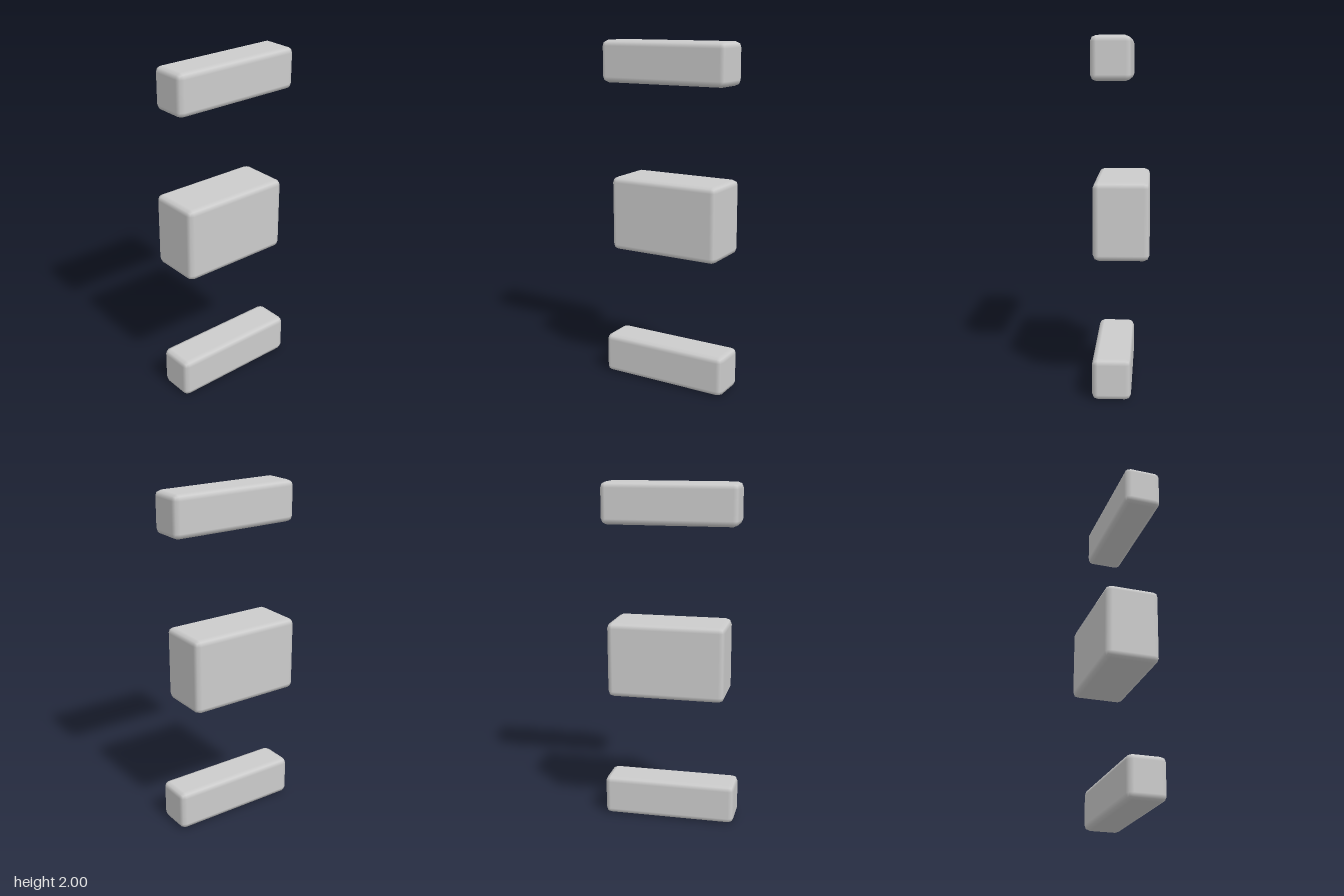
import * as THREE from 'three';
import { RoundedBoxGeometry } from 'three/addons/geometries/RoundedBoxGeometry.js';

export function createModel() {
  const model = new THREE.Group();
  model.name = 'stackedBlocks';

  const grey = new THREE.MeshStandardMaterial({ color: 0xcccccc });
  grey.name = 'light grey';

  const turn = THREE.MathUtils.degToRad(-14);
  const bevel = 0.033;

  // One bevelled block, turned about the vertical axis
  function addBlock(name, [width, height, depth], [x, y, z]) {
    const geometry = new RoundedBoxGeometry(width, height, depth, 1, bevel);
    const block = new THREE.Mesh(geometry, grey);
    block.name = name;
    block.position.set(x, y, z);
    block.rotation.y = turn;
    model.add(block);
  }

  // Two matching slim bars with a taller, shorter block floating between them
  const bar = [0.218, 0.238, 0.788];
  addBlock('lowerBar', bar, [0.041, 0.119, 0]);
  addBlock('middleBlock', [0.312, 0.438, 0.681], [-0.009, 1.001, -0.012]);
  addBlock('upperBar', bar, [0.041, 1.881, 0]);

  return model;
}
